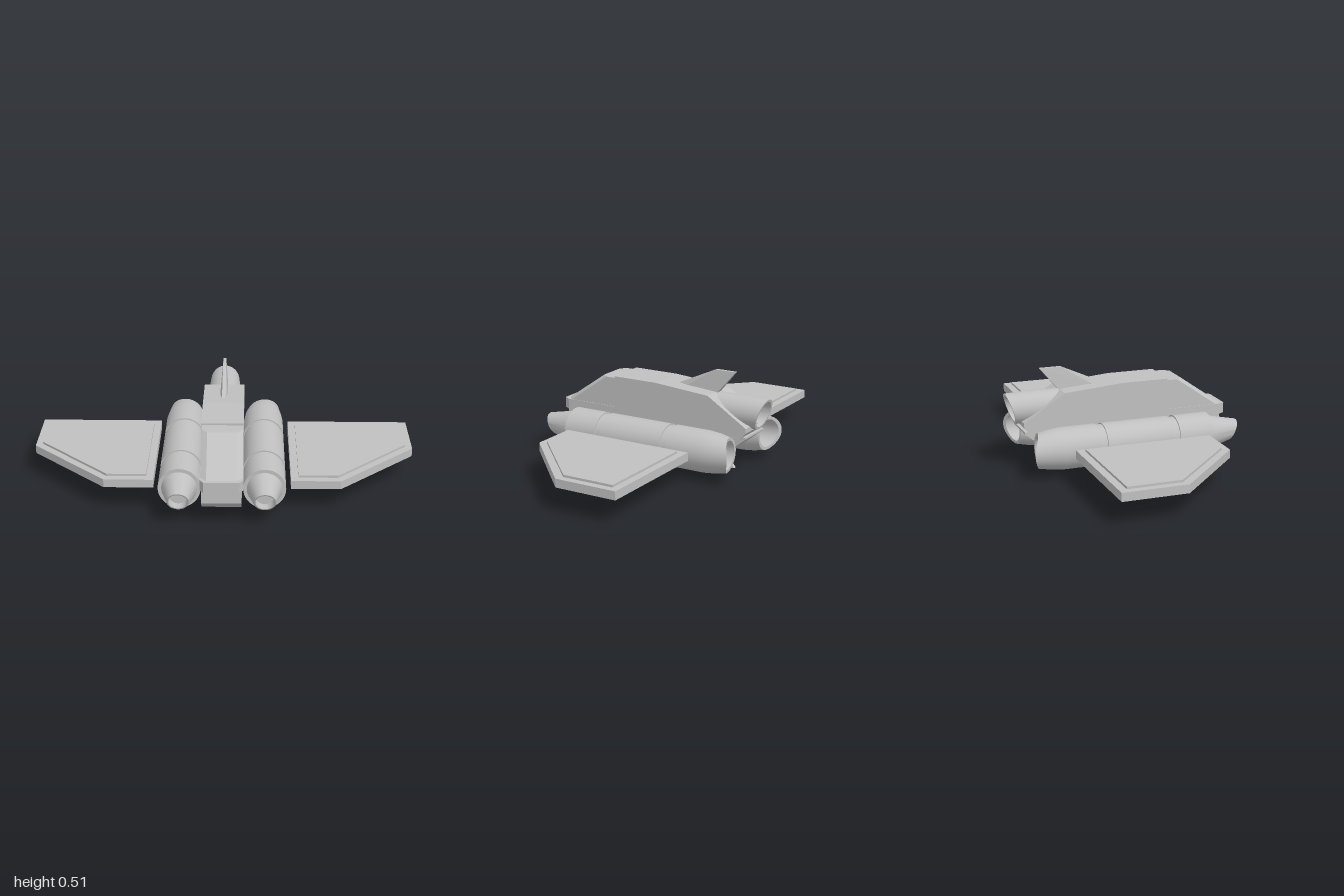
import * as THREE from 'three';
import { toCreasedNormals } from 'three/addons/utils/BufferGeometryUtils.js';
import { ConvexGeometry } from 'three/addons/geometries/ConvexGeometry.js';

const hullGrey = new THREE.MeshStandardMaterial({ color: 0xc0c0c0 });
hullGrey.name = 'hullGrey';

function part(parent, name, geometry) {
  const mesh = new THREE.Mesh(geometry, hullGrey);
  mesh.name = name;
  parent.add(mesh);
  return mesh;
}

// Extrude an outline symmetrically about its own plane
function slab(points, thickness) {
  const shape = new THREE.Shape(points.map(([a, b]) => new THREE.Vector2(a, b)));
  return new THREE.ExtrudeGeometry(shape, { depth: thickness, bevelEnabled: false })
    .translate(0, 0, -thickness / 2);
}
const sideSlab = (zy, width) => slab(zy, width).rotateY(-Math.PI / 2);
const flatSlab = (xz, height) => slab(xz, height).rotateX(Math.PI / 2);

// Convex solid from rows of [half width, y, z], mirrored across x
function convex(rows) {
  return new ConvexGeometry(rows.flatMap(([x, y, z]) =>
    [new THREE.Vector3(x, y, z), new THREE.Vector3(-x, y, z)]));
}

// Turned body along z; shift(x, y, z) gives a z offset that shapes the rims
function turned(profile, shift) {
  const geo = new THREE.LatheGeometry(profile.map(([r, z]) => new THREE.Vector2(r, z)), 40);
  geo.rotateX(Math.PI / 2);
  const p = geo.attributes.position;
  for (let i = 0; i < p.count; i++) {
    p.setZ(i, p.getZ(i) + shift(p.getX(i), p.getY(i), p.getZ(i)));
  }
  return toCreasedNormals(geo, 0.45);
}

// Hollow side engine: rear nozzle, three drums, slanted intake
const engineProfile = [
  [0, -0.4], [0.07, -0.4], [0.074, -0.485], [0.09, -0.485],
  [0.102, -0.43], [0.108, -0.37],
  [0.108, -0.185], [0.101, -0.185], [0.101, -0.15], [0.108, -0.15],
  [0.108, 0.21], [0.101, 0.21], [0.101, 0.245], [0.108, 0.245],
  [0.108, 0.43], [0.09, 0.43], [0.055, 0.575], [0.048, 0.575], [0.048, 0.5], [0, 0.5],
];

function engine(side) {
  return turned(engineProfile, (x, y, z) => {
    if (z > 0.55) return 0.025 * y / 0.055;
    if (z < -0.48) return -0.045 * ((1 + side * x / 0.09) / 2) ** 3;
    return 0;
  }).translate(side * 0.215, 0.145, 0);
}

export function createModel() {
  const model = new THREE.Group();
  model.name = 'spacecraft';

  // Fuselage
  const body = new THREE.Group();
  body.name = 'fuselage';
  model.add(body);
  part(body, 'upperHull', sideSlab([
    [0.255, 0.2], [0.255, 0.425], [0, 0.425], [-0.31, 0.4], [-0.53, 0.26], [-0.53, 0.235], [-0.5, 0.2],
  ], 0.216));
  part(body, 'lowerHull', sideSlab([
    [0.56, 0.21], [0.56, 0.13], [0.51, 0.085], [-0.38, 0.085], [-0.525, 0.2], [-0.525, 0.21],
  ], 0.2));
  part(body, 'noseLip', flatSlab([
    [-0.108, 0.25], [0.108, 0.25], [0.108, 0.555], [0.088, 0.588], [-0.088, 0.588], [-0.108, 0.555],
  ], 0.056).translate(0, 0.23, 0));
  part(body, 'nosePlate', new THREE.BoxGeometry(0.12, 0.055, 0.008).translate(0, 0.168, 0.562));

  // Canopy with bevelled edges
  part(body, 'canopy', convex([
    [0.075, 0.257, 0.568], [0.075, 0.415, 0.342], [0.075, 0.415, 0.25],
    [0.105, 0.257, 0.535], [0.105, 0.415, 0.31], [0.105, 0.415, 0.25], [0.105, 0.257, 0.25],
  ]));

  // Fins
  part(model, 'topFin', convex([
    [0.01, 0.415, -0.08], [0.02, 0.415, -0.14], [0.02, 0.39, -0.31],
    [0.008, 0.515, -0.3], [0.008, 0.515, -0.415],
  ]));
  part(model, 'bottomFin', convex([
    [0.01, 0.09, -0.11], [0.02, 0.09, -0.16], [0.02, 0.09, -0.335],
    [0.01, 0.003, -0.3], [0.01, 0.003, -0.415],
  ]));

  // Upper rear engine, rim raked back at the top
  part(model, 'upperEngine', turned([
    [0, -0.5], [0.062, -0.5], [0.068, -0.575], [0.08, -0.575], [0.084, -0.5], [0.084, -0.28], [0, -0.28],
  ], (x, y, z) => (z < -0.55 ? -0.025 * y / 0.08 : 0)).translate(0, 0.315, 0));

  // Engines and wings on both sides
  for (const [side, label] of [[1, 'left'], [-1, 'right']]) {
    part(model, label + 'Engine', engine(side));
    const mirror = (pts) => pts.map(([x, z]) => [side * x, z]);
    const wing = new THREE.Group();
    wing.name = label + 'Wing';
    wing.position.y = 0.149;
    model.add(wing);
    part(wing, 'wingSlab', flatSlab(mirror([
      [0.348, -0.335], [1, -0.335], [1, 0], [0.6, 0.39], [0.348, 0.39],
    ]), 0.044));
    part(wing, 'wingPanel', flatSlab(mirror([
      [0.386, -0.296], [0.963, -0.296], [0.963, -0.02], [0.588, 0.35], [0.386, 0.35],
    ]), 0.068));
  }
  return model;
}
